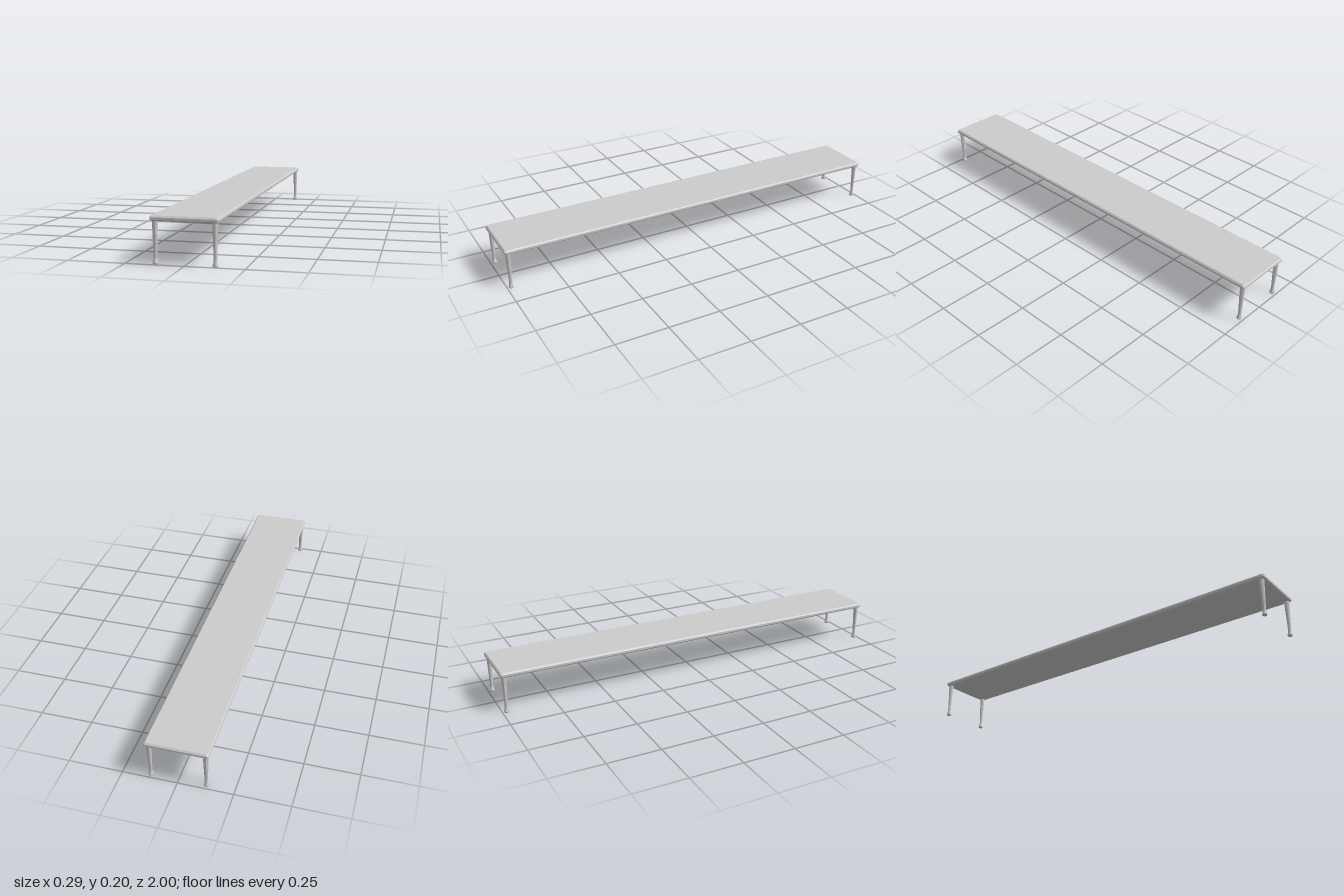
import * as THREE from 'three';

const material = new THREE.MeshStandardMaterial({ color: 0xcccccc, flatShading: true });

// Slab with bevelled edges and cut corners, lofted from eight-cornered rings
function slabGeometry(halfX, halfZ, rings) {
  const cut = 0.006;
  const points = [];
  for (const [inset, y] of rings) {
    const x = halfX - inset, z = halfZ - inset;
    const outline = [
      [x, z - cut], [x, cut - z], [x - cut, -z], [cut - x, -z],
      [-x, cut - z], [-x, z - cut], [cut - x, z], [x - cut, z],
    ];
    for (const [px, pz] of outline) points.push(px, y, pz);
  }
  const index = [];
  for (let r = 0; r < rings.length - 1; r++) {
    for (let i = 0; i < 8; i++) {
      const a = r * 8 + i, b = r * 8 + (i + 1) % 8;
      index.push(a, b, b + 8, a, b + 8, a + 8);
    }
  }
  // Flat caps
  const top = (rings.length - 1) * 8;
  for (let i = 1; i < 7; i++) {
    index.push(0, i + 1, i, top, top + i, top + i + 1);
  }
  const geometry = new THREE.BufferGeometry();
  geometry.setAttribute('position', new THREE.Float32BufferAttribute(points, 3));
  geometry.setIndex(index);
  const flat = geometry.toNonIndexed();
  flat.computeVertexNormals();
  return flat;
}

// Tapered octagonal leg with a flared foot; profile widths are across the flats
function legGeometry() {
  const profile = [
    [0, 0], [0.0095, 0], [0.0112, 0.003], [0.0112, 0.006],
    [0.0075, 0.019], [0.0065, 0.027], [0.0112, 0.178], [0, 0.178],
  ].map(([r, y]) => new THREE.Vector2(r / Math.cos(Math.PI / 8), y));
  return new THREE.LatheGeometry(profile, 8, Math.PI / 8);
}

export function createModel() {
  const model = new THREE.Group();
  model.name = 'longTable';

  const tabletop = new THREE.Mesh(
    slabGeometry(0.1435, 1, [[0.007, 0.177], [0, 0.183], [0, 0.193], [0.006, 0.2]]),
    material,
  );
  tabletop.name = 'tabletop';
  model.add(tabletop);

  // One leg near each corner
  const leg = legGeometry();
  for (const [zName, z] of [['front', 0.981], ['back', -0.981]]) {
    for (const [xName, x] of [['Left', 0.125], ['Right', -0.125]]) {
      const mesh = new THREE.Mesh(leg, material);
      mesh.name = `${zName}${xName}Leg`;
      mesh.position.set(x, 0, z);
      model.add(mesh);
    }
  }
  return model;
}
